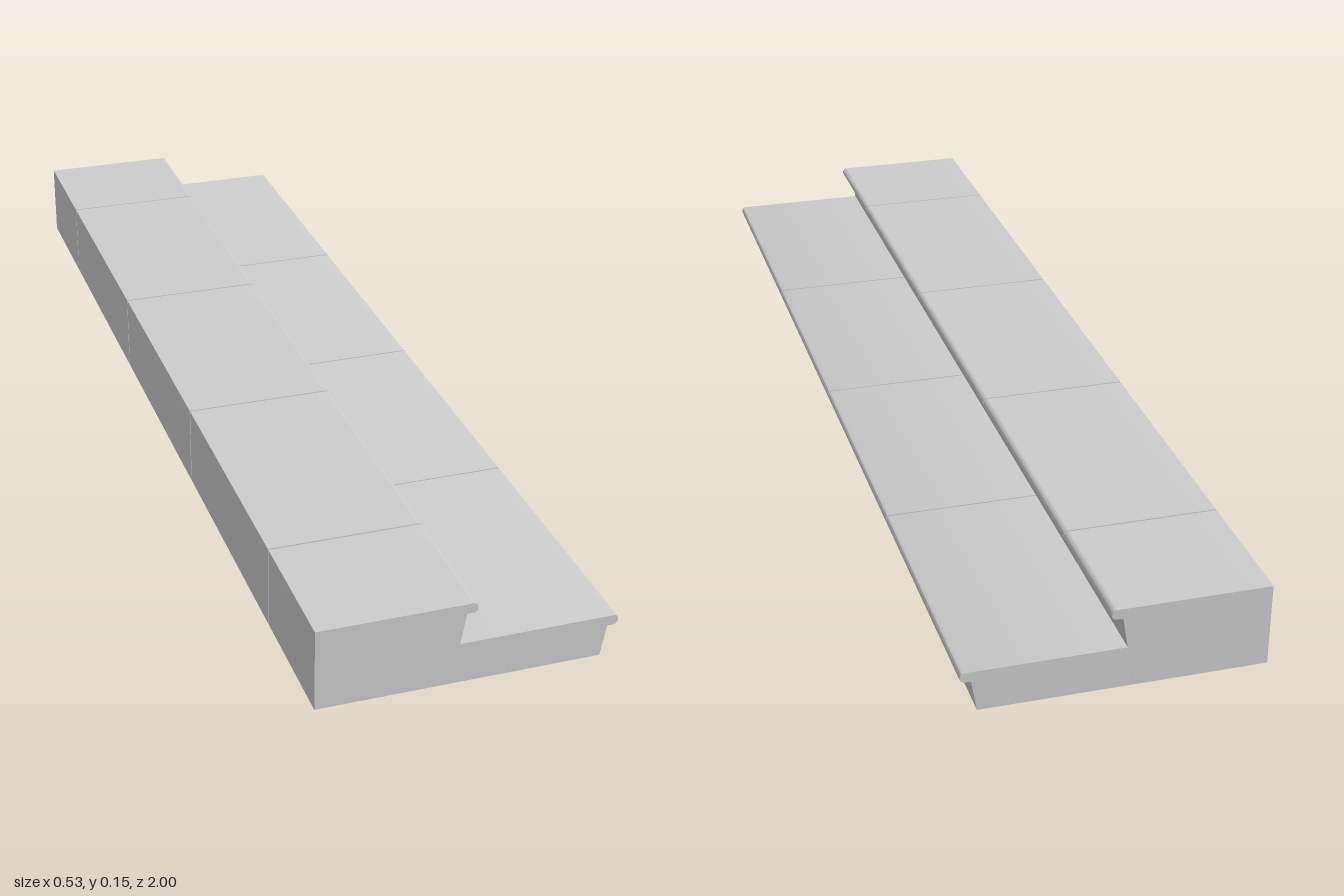
import * as THREE from 'three';
import { toCreasedNormals } from 'three/addons/utils/BufferGeometryUtils.js';

const STONE = new THREE.MeshStandardMaterial({ color: 0xcccccc });
const GAP = 0.003;      // joint between neighbouring blocks
const LIP = 0.018;      // thickness of the nosing
const R = 0.008;        // rounding of the nosing

// Cross-section of a step: sloping riser under a rounded nosing.
// back = [x at the bottom, x at the top], nose = foremost x, inset shrinks the section.
function stepSection(back, nose, height, inset = 0) {
  const top = height - inset, n = nose - inset, under = height - LIP + inset;
  const riserTop = nose - 0.019 - inset;
  const riserFoot = riserTop - (height - LIP) * 0.175;
  const s = new THREE.Shape();
  s.moveTo(back[0] + inset, inset);
  s.lineTo(riserFoot, inset);
  s.lineTo(riserTop, under);
  s.lineTo(n - R, under);
  s.absarc(n - R, under + R, R, -Math.PI / 2, 0, false);
  s.lineTo(n, Math.max(under + R, top - R));
  s.absarc(n - R, Math.max(under + R, top - R), R, 0, Math.PI / 2, false);
  s.lineTo(back[1] + inset, Math.max(top, under + 2 * R));
  s.closePath();
  return s;
}

// Section extruded along z between two stations
function run(name, section, z0, z1) {
  const geo = new THREE.ExtrudeGeometry(section, {
    depth: z1 - z0, bevelEnabled: false, curveSegments: 6,
  });
  geo.translate(0, 0, z0);
  const mesh = new THREE.Mesh(toCreasedNormals(geo, 0.5), STONE);
  mesh.name = name;
  return mesh;
}

// A row of blocks separated by fine joints, with a recessed core closing the joints
function stepRow(name, back, nose, height, joints) {
  const row = new THREE.Group();
  row.name = name;
  const section = stepSection(back, nose, height);
  const ends = [-1, ...joints, 1];
  for (let i = 0; i < ends.length - 1; i++) {
    const z0 = ends[i] + (i > 0 ? GAP / 2 : 0);
    const z1 = ends[i + 1] - (i < ends.length - 2 ? GAP / 2 : 0);
    row.add(run(`${name}Block${i + 1}`, section, z0, z1));
  }
  // core stays behind the riser and below the tread
  const core = new THREE.Shape([
    [back[0] + 0.004, 0.004], [nose - 0.046, 0.004],
    [nose - 0.027, height - 0.004], [back[1] + 0.004, height - 0.004],
  ].map(([x, y]) => new THREE.Vector2(x, y)));
  row.add(run(`${name}Core`, core, -0.99, 0.99));
  return row;
}

export function createModel() {
  const stairs = new THREE.Group();
  stairs.name = 'blockSteps';
  stairs.add(
    stepRow('upperStep', [-0.265, -0.265], 0.011, 0.15, [-0.75, -0.25, 0.25, 0.75]),
    // the back of the lower step leans against the upper riser
    stepRow('lowerStep', [-0.031, -0.018], 0.263, 0.075, [-0.5, 0, 0.5]),
  );
  return stairs;
}
